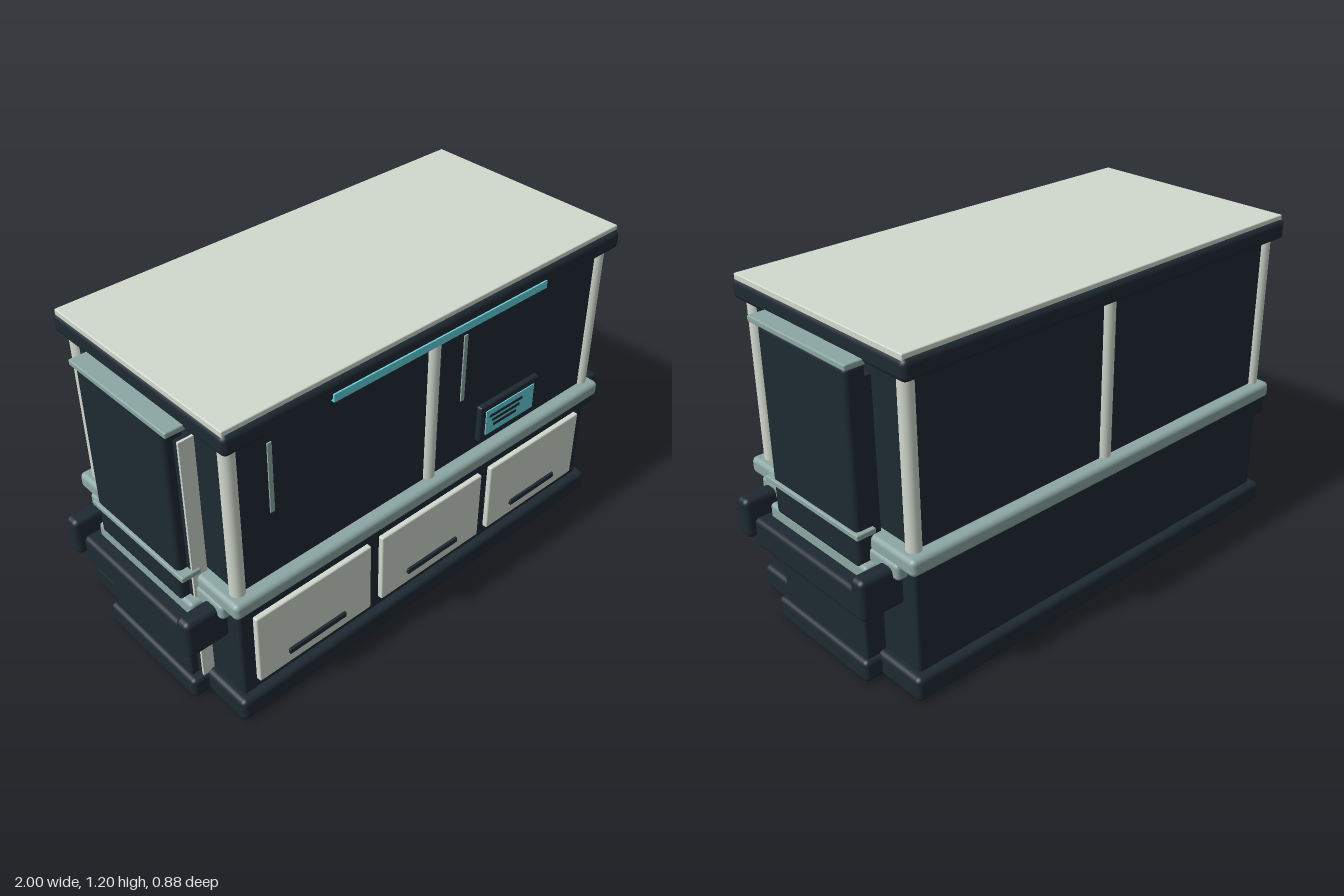
import * as THREE from 'three';
import { RoundedBoxGeometry } from 'three/addons/geometries/RoundedBoxGeometry.js';

const material = (name, color) => {
  const m = new THREE.MeshStandardMaterial({ color });
  m.name = name;
  return m;
};

export function createModel() {
  const dark = material('dark slate', 0x1e2932);
  const pale = material('pale stone', 0xd2d9ce);
  const steel = material('grey green metal', 0x8da7a4);
  const cyan = material('cyan glow', 0x64d2de);

  const root = new THREE.Group();
  root.name = 'cabinet';

  // Box given by its extents on each axis; r > 0 rounds the edges
  const box = (name, mat, [x0, x1], [y0, y1], [z0, z1], r = 0, parent = root) => {
    const w = x1 - x0, h = y1 - y0, d = z1 - z0;
    const geo = r > 0 ? new RoundedBoxGeometry(w, h, d, 3, r) : new THREE.BoxGeometry(w, h, d);
    const mesh = new THREE.Mesh(geo, mat);
    mesh.name = name;
    mesh.position.set((x0 + x1) / 2, (y0 + y1) / 2, (z0 + z1) / 2);
    parent.add(mesh);
    return mesh;
  };
  const sym = (a) => [-a, a];

  // Lower cabinet and counter
  box('plinth', dark, sym(0.875), [0, 0.09], sym(0.438), 0.02);
  box('lowerBody', dark, sym(0.845), [0.05, 0.472], sym(0.405), 0.012);
  box('counterRim', steel, sym(0.882), [0.43, 0.49], sym(0.37), 0.015);
  box('counter', steel, sym(0.875), [0.472, 0.533], sym(0.438), 0.018);

  // Drawers with dark slot handles
  for (const x of [-0.545, 0, 0.543]) {
    box('drawerFront', pale, [x - 0.247, x + 0.247], [0.127, 0.415], [0.395, 0.424], 0.006);
    box('drawerHandle', dark, [x - 0.125, x + 0.125], [0.174, 0.195], [0.415, 0.434], 0.003);
  }

  // Upper cabinet: doors in front, panels at the back and ends
  for (const [a, b] of [[-0.805, -0.03], [0.03, 0.805]]) {
    box('door', dark, [a, b], [0.535, 1.112], [0.362, 0.392]);
    box('backPanel', dark, [a, b], [0.535, 1.112], [-0.392, -0.362]);
  }
  for (const s of [-1, 1]) {
    const [a, b] = [s * 0.805, s * 0.835].sort((p, q) => p - q);
    box('endPanel', dark, [a, b], [0.546, 1.095], sym(0.358));
  }
  for (const x of [-0.683, 0.142])
    box('doorHandle', steel, [x - 0.008, x + 0.008], [0.785, 1.048], [0.39, 0.397]);

  // Posts
  for (const x of [-0.825, 0, 0.825]) for (const z of [-0.382, 0.382]) {
    const post = new THREE.Mesh(new THREE.CylinderGeometry(0.026, 0.026, 0.6, 24), pale);
    post.name = 'post';
    post.position.set(x, 0.82, z);
    root.add(post);
  }

  // Roof and light strip
  box('roof', dark, sym(0.872), [1.11, 1.182], sym(0.438), 0.02);
  box('roofPlate', pale, sym(0.866), [1.175, 1.198], sym(0.424), 0.004);
  box('lightStrip', cyan, sym(0.475), [1.112, 1.14], [0.425, 0.444]);

  // Control display
  const display = new THREE.Group();
  display.name = 'display';
  root.add(display);
  box('displayFrame', dark, [0.228, 0.533], [0.565, 0.714], [0.385, 0.412], 0.008, display);
  box('displayScreen', cyan, [0.254, 0.504], [0.588, 0.69], [0.408, 0.416], 0, display);
  [[0.27, 0.44, 0.664], [0.285, 0.427, 0.642], [0.292, 0.41, 0.62]].forEach(([a, b, y]) =>
    box('displayLine', dark, [a, b], [y - 0.005, y + 0.005], [0.412, 0.419], 0, display));

  // End towers, one at each side
  for (const s of [-1, 1]) {
    const tower = new THREE.Group();
    tower.name = s > 0 ? 'leftTower' : 'rightTower';
    root.add(tower);
    const part = (name, mat, [a, b], y, z, r = 0) =>
      box(name, mat, s > 0 ? [a, b] : [-b, -a], y, z, r, tower);

    part('towerBase', dark, [0.8, 0.938], [0, 0.083], sym(0.25), 0.018);
    part('towerCore', dark, [0.835, 0.89], [0.06, 1.065], sym(0.235));
    part('towerTrim', pale, [0.835, 0.89], [0.08, 1.067], [0.234, 0.243]);
    part('towerLowerPanel', dark, [0.86, 0.92], [0.06, 0.4], [-0.235, 0.217], 0.008);
    part('towerUpperPanel', dark, [0.85, 0.925], [0.432, 1.107], [-0.235, 0.217], 0.016);
    part('towerCap', steel, [0.862, 0.935], [1.107, 1.128], sym(0.25), 0.005);
    part('towerBand', steel, [0.862, 0.935], [0.543, 0.564], sym(0.25), 0.005);

    // Side shelf with tray and brackets
    part('shelf', dark, [0.83, 0.975], [0.29, 0.4], sym(0.288), 0.018);
    part('shelfTray', steel, [0.85, 0.922], [0.385, 0.447], sym(0.263), 0.014);
    for (const z of [-0.315, 0.315])
      part('shelfBracket', dark, [0.835, 1.0], [0.322, 0.47], [z - 0.031, z + 0.031], 0.02);
  }
  return root;
}
